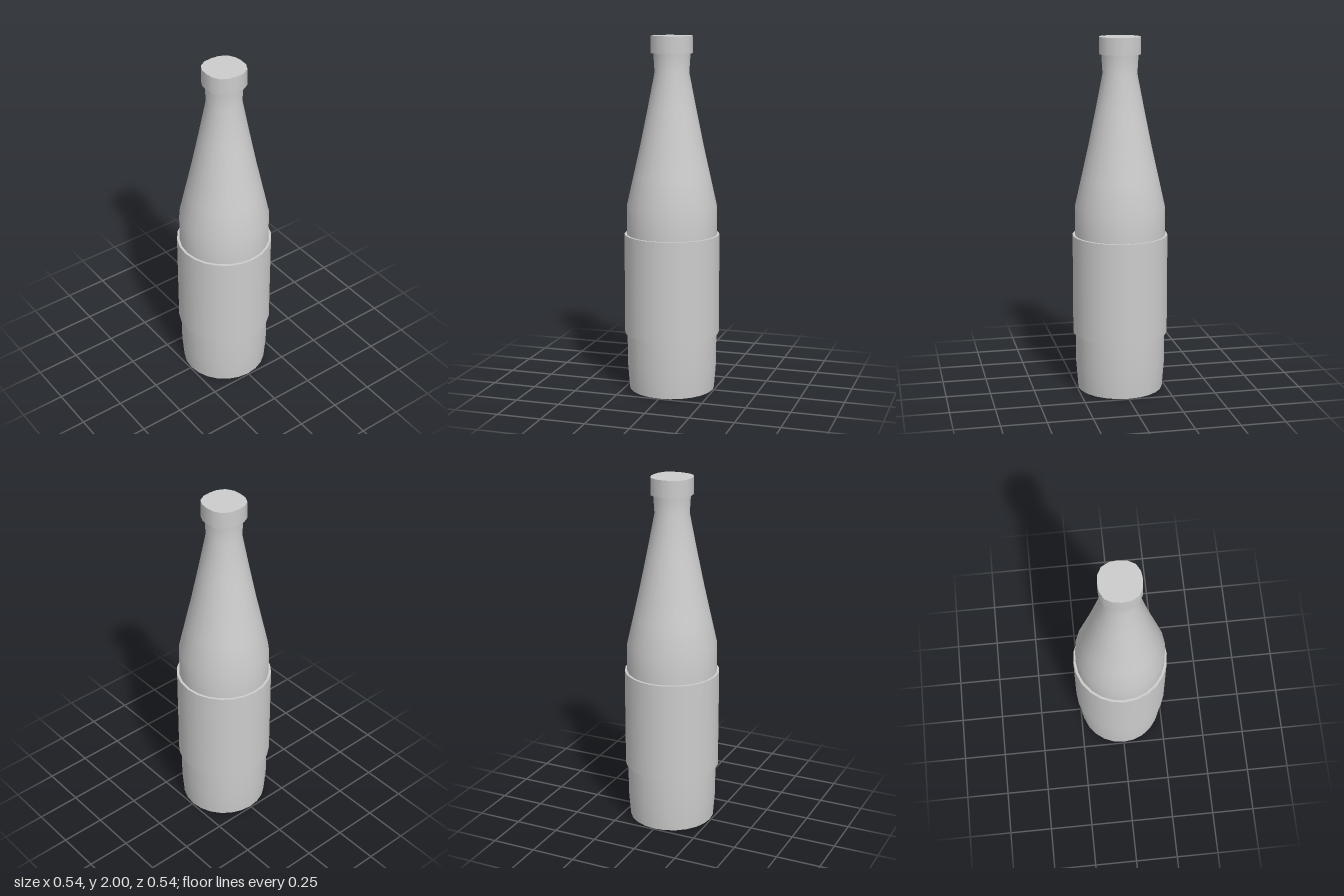
import * as THREE from 'three';

const glassGrey = new THREE.MeshStandardMaterial({ color: 0xcccccc });
glassGrey.name = 'light grey';

// Each profile runs upward or around the outside; separate profiles keep sharp edges.
function turned(name, sides, profiles, reshape) {
  const part = new THREE.Group();
  part.name = name;
  profiles.forEach((profile, i) => {
    const points = profile.map(([r, y]) => new THREE.Vector2(r, y));
    const geometry = new THREE.LatheGeometry(points, sides);
    if (reshape) reshape(geometry.attributes.position);
    const mesh = new THREE.Mesh(geometry, glassGrey);
    mesh.name = `${name}Surface${i + 1}`;
    part.add(mesh);
  });
  return part;
}

// Swell the cap slightly along its diagonals.
function squareOff(position) {
  for (let i = 0; i < position.count; i++) {
    const x = position.getX(i), z = position.getZ(i);
    const s = 1 + 0.075 * Math.sin(2 * Math.atan2(z, x)) ** 2;
    position.setX(i, x * s);
    position.setZ(i, z * s);
  }
}

export function createModel() {
  const model = new THREE.Group();
  model.name = 'bottle';

  // Base, body, sloping shoulder and flared neck
  model.add(turned('body', 24, [
    [[0, 0], [0.242, 0]],
    [[0.242, 0], [0.253, 0.14], [0.254, 0.33], [0.254, 0.9], [0.252, 1.06],
      [0.215, 1.225], [0.177, 1.395], [0.137, 1.59], [0.096, 1.8], [0.103, 1.91]],
  ]));

  // Raised label band with narrow ledges
  model.add(turned('label', 24, [
    [[0.25, 0.327], [0.268, 0.327]],
    [[0.268, 0.327], [0.268, 0.895]],
    [[0.268, 0.895], [0.25, 0.895]],
  ]));

  // Closed cap
  model.add(turned('cap', 16, [
    [[0.09, 1.905], [0.113, 1.905]],
    [[0.113, 1.905], [0.113, 2]],
    [[0.113, 2], [0, 2]],
  ], squareOff));

  return model;
}
